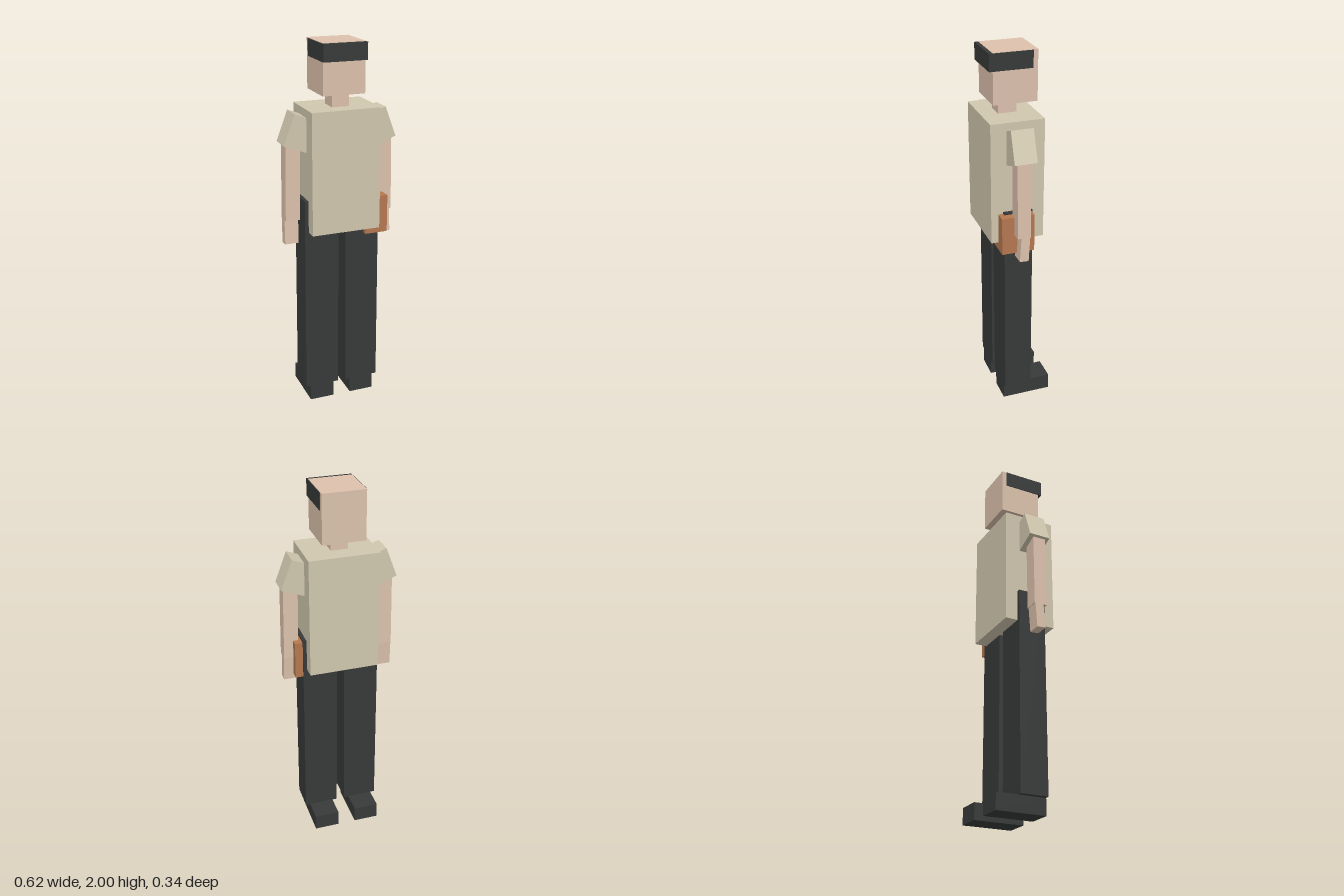
import * as THREE from 'three';

const material = (color) => new THREE.MeshStandardMaterial({ color, flatShading: true });

export function createModel() {
  const model = new THREE.Group();
  model.name = 'blockOfficer';
  const skin = material(0xdcc1ac);
  const shirt = material(0xd0c7ae);
  const dark = material(0x373a39);
  const leather = material(0xb57850);

  // Box given by its [min, max] range on each axis, pivoting about its centre
  function block(name, mat, [x0, x1], [y0, y1], [z0, z1], parent = model) {
    const mesh = new THREE.Mesh(new THREE.BoxGeometry(x1 - x0, y1 - y0, z1 - z0), mat);
    mesh.position.set((x0 + x1) / 2, (y0 + y1) / 2, (z0 + z1) / 2);
    mesh.name = name;
    parent.add(mesh);
    return mesh;
  }

  // Head, neck and torso
  block('head', skin, [-0.114, 0.114], [1.738, 2.0], [-0.105, 0.128]);
  block('headband', dark, [-0.118, 0.118], [1.909, 1.998], [-0.08, 0.148]);
  block('neck', skin, [-0.048, 0.044], [1.65, 1.75], [-0.02, 0.08]);
  block('torso', shirt, [-0.188, 0.188], [1.018, 1.669], [-0.118, 0.168]);

  // Limbs, mirrored left and right
  for (const side of [1, -1]) {
    const prefix = side > 0 ? 'left' : 'right';
    const limb = (part, mat, [a, b], y, z, tiltZ = 0, tiltX = 0) => {
      const range = side > 0 ? [a, b] : [-b, -a];
      const mesh = block(prefix + part, mat, range, y, z);
      mesh.rotation.set(tiltX, 0, side * tiltZ);
    };
    limb('Leg', dark, [0.021, 0.21], [0.088, 1.19], [-0.05, 0.103], 0.004);
    limb('Shoe', dark, [0.05, 0.187], [0, 0.089], [-0.17, 0.104]);
    limb('Sleeve', shirt, [0.125, 0.285], [1.457, 1.628], [-0.035, 0.084], 0.36);
    limb('Arm', skin, [0.22, 0.298], [1.08, 1.5], [-0.008, 0.064], 0.015);
    limb('Hand', skin, [0.227, 0.302], [0.945, 1.085], [0, 0.048], 0.01, -0.06);
  }

  // Holster on the left hip
  block('holster', leather, [0.125, 0.25], [0.975, 1.18], [-0.046, 0.13]);

  return model;
}
